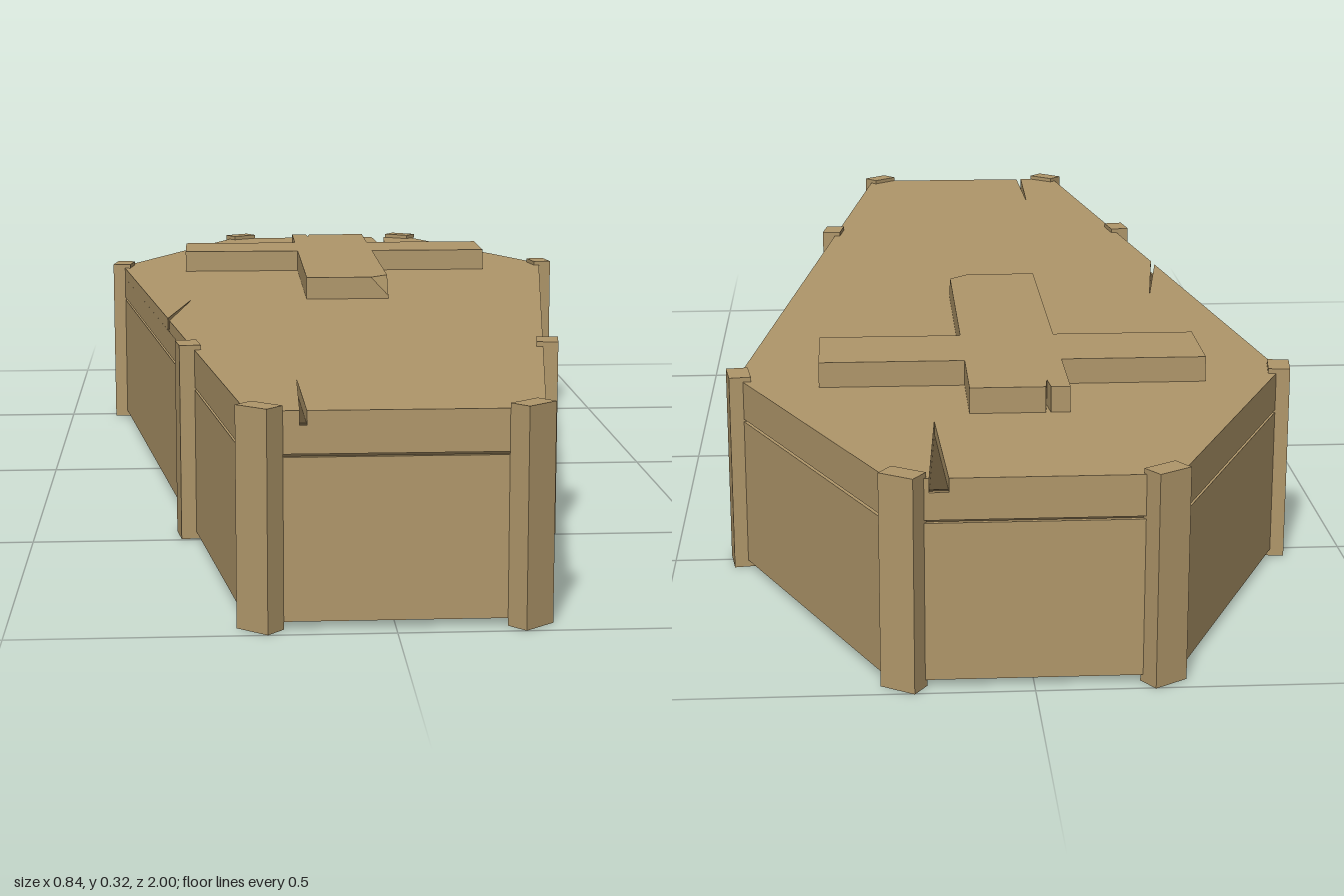
import * as THREE from 'three';
import { ConvexGeometry } from 'three/addons/geometries/ConvexGeometry.js';

const wood = new THREE.MeshStandardMaterial({ color: 0xb0976a });
wood.name = 'wood';
const darkWood = new THREE.MeshStandardMaterial({ color: 0x5e4f35 });
darkWood.name = 'darkWood';

// Upright prism from an outline of [x, z] points between two heights
function prism(name, outline, y0, y1, material) {
  const shape = new THREE.Shape(outline.map(([x, z]) => new THREE.Vector2(x, -z)));
  const geometry = new THREE.ExtrudeGeometry(shape, { depth: y1 - y0, bevelEnabled: false });
  geometry.rotateX(-Math.PI / 2);
  geometry.translate(0, y0, 0);
  const mesh = new THREE.Mesh(geometry, material);
  mesh.name = name;
  return mesh;
}

export function createModel() {
  const group = new THREE.Group();
  group.name = 'coffin';

  // Six-sided body, with a narrow seam below the lid
  const foot = [0.19, 0.975], shoulder = [0.4, -0.51], head = [0.185, -0.98];
  const flip = ([x, z]) => [-x, z];
  const outline = [foot, shoulder, head, flip(head), flip(shoulder), flip(foot)];
  const inset = outline.map(([x, z]) => [x * 0.985, z * 0.994]);
  group.add(prism('box', outline, 0.01, 0.225, wood));
  group.add(prism('seamCore', inset, 0.2, 0.268, darkWood));
  group.add(prism('lidLower', outline, 0.229, 0.266, wood));

  // Lid surface, split by three tapering cracks
  group.add(prism('lidTop', [
    foot, shoulder, head,
    [0.135, -0.98], [0.12, -0.74], [0.11, -0.98],
    flip(head), flip(shoulder),
    [-0.303, 0.175], [-0.265, -0.05], [-0.3, 0.2],
    flip(foot),
    [-0.123, 0.975], [-0.118, 0.75], [-0.114, 0.975],
  ], 0.266, 0.285, wood));

  // Raised cross with a nick at the top
  const y0 = 0.285, y1 = 0.322, w = 0.07, a = 0.28;
  const armBack = -0.565, armFront = -0.425, top = -0.705, end = -0.035;
  group.add(prism('crossArms', [
    [a, armFront], [a, armBack], [w, armBack], [w, top],
    [-0.036, top], [-0.04, -0.67], [-0.043, top],
    [-w, top], [-w, armBack], [-a, armBack], [-a, armFront],
  ], y0, y1, wood));

  // Lower shaft of the cross with one chipped corner
  const corners = [];
  for (const y of [y0, y1]) {
    for (const x of [-w, w]) {
      for (const z of [armFront, end]) {
        if (y === y1 && x === w && z === end) continue;
        corners.push(new THREE.Vector3(x, y, z));
      }
    }
  }
  corners.push(
    new THREE.Vector3(w - 0.03, y1, end),
    new THREE.Vector3(w, y1, end - 0.03),
    new THREE.Vector3(w, y1 - 0.032, end),
  );
  const shaft = new THREE.Mesh(new ConvexGeometry(corners), wood);
  shaft.name = 'crossShaft';
  group.add(shaft);

  // Posts at the corners and along the sides: outer face centre, facing angle in degrees
  const posts = [
    ['footPost', 0.185, 0.983, 49],
    ['sidePost', 0.284, 0.47, 8],
    ['shoulderPost', 0.414, -0.508, -8],
    ['headPost', 0.178, -0.988, -57],
  ];
  const depth = 0.032;
  for (const [name, x, z, degrees] of posts) {
    const angle = THREE.MathUtils.degToRad(degrees);
    for (const side of [1, -1]) {
      const post = new THREE.Mesh(new THREE.BoxGeometry(depth, 0.292, 0.052), wood);
      post.position.set(
        side * (x - Math.cos(angle) * depth / 2), 0.146, z - Math.sin(angle) * depth / 2);
      post.rotation.y = -side * angle;
      post.name = name + (side > 0 ? 'Left' : 'Right');
      group.add(post);
    }
  }
  return group;
}
